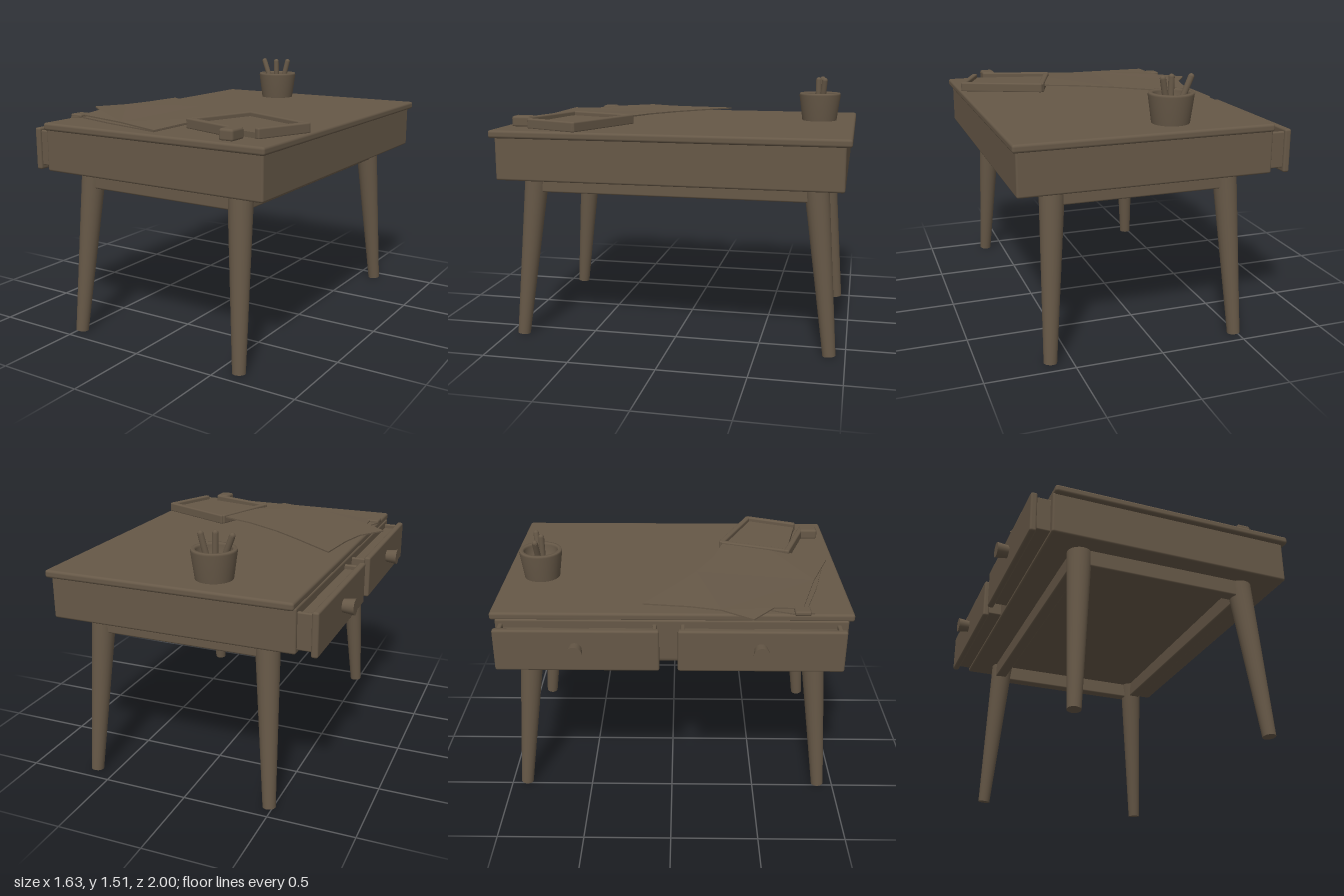
import * as THREE from 'three';
import { RoundedBoxGeometry } from 'three/addons/geometries/RoundedBoxGeometry.js';

export function createModel() {
  const desk = new THREE.Group();
  desk.name = 'desk';
  const wood = new THREE.MeshStandardMaterial({ color: 0x665847 });
  wood.name = 'brown wood';

  const add = (name, geometry, parent = desk) => {
    const mesh = new THREE.Mesh(geometry, wood);
    mesh.name = name;
    parent.add(mesh);
    return mesh;
  };
  // Rounded block given by its min and max on each axis
  const block = (name, [x0, x1], [y0, y1], [z0, z1], r = 0.01, parent = desk) => {
    const mesh = add(name, new RoundedBoxGeometry(x1 - x0, y1 - y0, z1 - z0, 2, r), parent);
    mesh.position.set((x0 + x1) / 2, (y0 + y1) / 2, (z0 + z1) / 2);
    return mesh;
  };
  // Tapered round bar between two points
  const bar = (name, a, b, ra, rb, parent = desk) => {
    const p = new THREE.Vector3(...a), q = new THREE.Vector3(...b);
    const dir = q.clone().sub(p);
    const mesh = add(name, new THREE.CylinderGeometry(rb, ra, dir.length(), 20), parent);
    mesh.position.copy(p).add(q).multiplyScalar(0.5);
    mesh.quaternion.setFromUnitVectors(new THREE.Vector3(0, 1, 0), dir.normalize());
    return mesh;
  };
  // Flat outline in x and z, whose top surface follows height(x, z)
  const sheet = (name, outline, thickness, height, parent) => {
    const shape = new THREE.Shape(outline.map(([x, z]) => new THREE.Vector2(x, z)));
    const g = new THREE.ExtrudeGeometry(shape, { depth: thickness, bevelEnabled: false });
    g.rotateX(Math.PI / 2);
    const p = g.attributes.position;
    for (let i = 0; i < p.count; i++) p.setY(i, p.getY(i) + height(p.getX(i), p.getZ(i)));
    g.computeVertexNormals();
    return add(name, g, parent);
  };

  // Top and body
  block('tabletop', [-0.63, 0.812], [1.205, 1.25], [-1, 1], 0.015);
  block('body', [-0.635, 0.79], [0.965, 1.215], [-0.97, 0.97], 0.012);

  // Apron frame below the body
  for (const s of [-1, 1]) {
    const z = s * 0.825, x = 0.067 + s * 0.51;
    block('endApron', [-0.46, 0.595], [0.87, 0.98], [z - 0.035, z + 0.035]);
    block('sideApron', [x - 0.035, x + 0.035], [0.87, 0.98], [-0.85, 0.85]);
  }

  // Splayed tapered legs
  for (const sx of [-1, 1]) for (const sz of [-1, 1]) {
    const cx = 0.07;
    bar('leg', [cx + sx * 0.55, 0.003, sz * 0.91], [cx + sx * 0.497, 0.975, sz * 0.81], 0.037, 0.07);
  }

  // Two drawers pulled slightly open, with round knobs
  for (const [z0, z1] of [[-0.965, -0.065], [0.035, 0.945]]) {
    const drawer = new THREE.Group();
    drawer.name = 'drawer';
    desk.add(drawer);
    const zc = (z0 + z1) / 2 - 0.005;
    block('drawerFront', [-0.75, -0.712], [0.96, 1.205], [z0, z1], 0.012, drawer);
    block('drawerBox', [-0.73, -0.6], [0.985, 1.165], [z0 + 0.02, z1 - 0.02], 0.008, drawer);
    for (const z of [z0 + 0.015, z1 - 0.04])
      block('drawerSide', [-0.73, -0.6], [0.985, 1.19], [z, z + 0.025], 0.008, drawer);
    bar('knob', [-0.74, 1.095, zc], [-0.818, 1.095, zc], 0.036, 0.046, drawer);
  }

  // Pencil cup
  const cup = new THREE.Group();
  cup.name = 'pencilCup';
  cup.position.set(-0.11, 1.245, -0.78);
  desk.add(cup);
  const profile = [[0, 0], [0.1, 0], [0.105, 0.006], [0.126, 0.16], [0.122, 0.172], [0.104, 0.172],
    [0.098, 0.16], [0.09, 0.06], [0, 0.055]].map(([x, y]) => new THREE.Vector2(x, y));
  add('cup', new THREE.LatheGeometry(profile, 32), cup);
  for (const [x, z, tx, tz] of [[-0.03, 0, -0.11, -0.01], [0, 0.01, -0.005, 0.01], [0.02, -0.01, 0.062, -0.03]]) {
    bar('pencil', [x, 0.05, z], [tx, 0.25, tz], 0.017, 0.017, cup);
    const tip = add('pencilEnd', new THREE.SphereGeometry(0.017, 12, 8), cup);
    tip.position.set(tx, 0.25, tz);
  }

  // Loose papers
  const papers = new THREE.Group();
  papers.name = 'papers';
  desk.add(papers);
  sheet('lowerPaper', [[-0.63, 0.67], [-0.57, 0.5], [0.1, 0.55], [0.1, 0.93], [-0.3, 0.83], [-0.55, 0.75], [-0.62, 0.78]],
    0.008, () => 1.257, papers);
  sheet('upperPaper', [[-0.55, -0.16], [-0.3, 0.02], [-0.12, 0.14], [0.1, 0.25], [0.3, 0.31], [0.22, 0.6], [0.17, 0.76],
    [0.12, 0.95], [-0.2, 0.83], [-0.58, 0.72], [-0.59, 0.56], [-0.73, 0.44], [-0.62, 0.27], [-0.58, 0.1]],
    0.008, (x, z) => 1.288 + 0.022 * x - 0.07 * Math.max(0, z - 0.6), papers);
  block('paperClip', [-0.64, -0.56], [1.245, 1.272], [0.67, 0.76], 0.01, papers);

  // Folder with a raised rim and a corner tab
  const folder = new THREE.Group();
  folder.name = 'folder';
  desk.add(folder);
  sheet('folderBase', [[0.33, 0.3], [0.79, 0.505], [0.665, 0.81], [0.17, 0.7]], 0.035, () => 1.28, folder);
  const rim = (name, [ax, az], [bx, bz]) => {
    const length = Math.hypot(bx - ax, bz - az);
    const m = add(name, new RoundedBoxGeometry(length + 0.03, 0.06, 0.035, 2, 0.01), folder);
    m.position.set((ax + bx) / 2, 1.276, (az + bz) / 2);
    m.rotation.y = -Math.atan2(bz - az, bx - ax);
  };
  rim('folderRim', [0.33, 0.31], [0.785, 0.505]);
  rim('folderRim', [0.785, 0.51], [0.665, 0.8]);
  rim('folderRim', [0.18, 0.71], [0.58, 0.845]);
  rim('folderRim', [0.32, 0.32], [0.19, 0.69]);
  block('folderTab', [0.515, 0.6], [1.245, 1.31], [0.83, 0.945], 0.015, folder);

  return desk;
}
